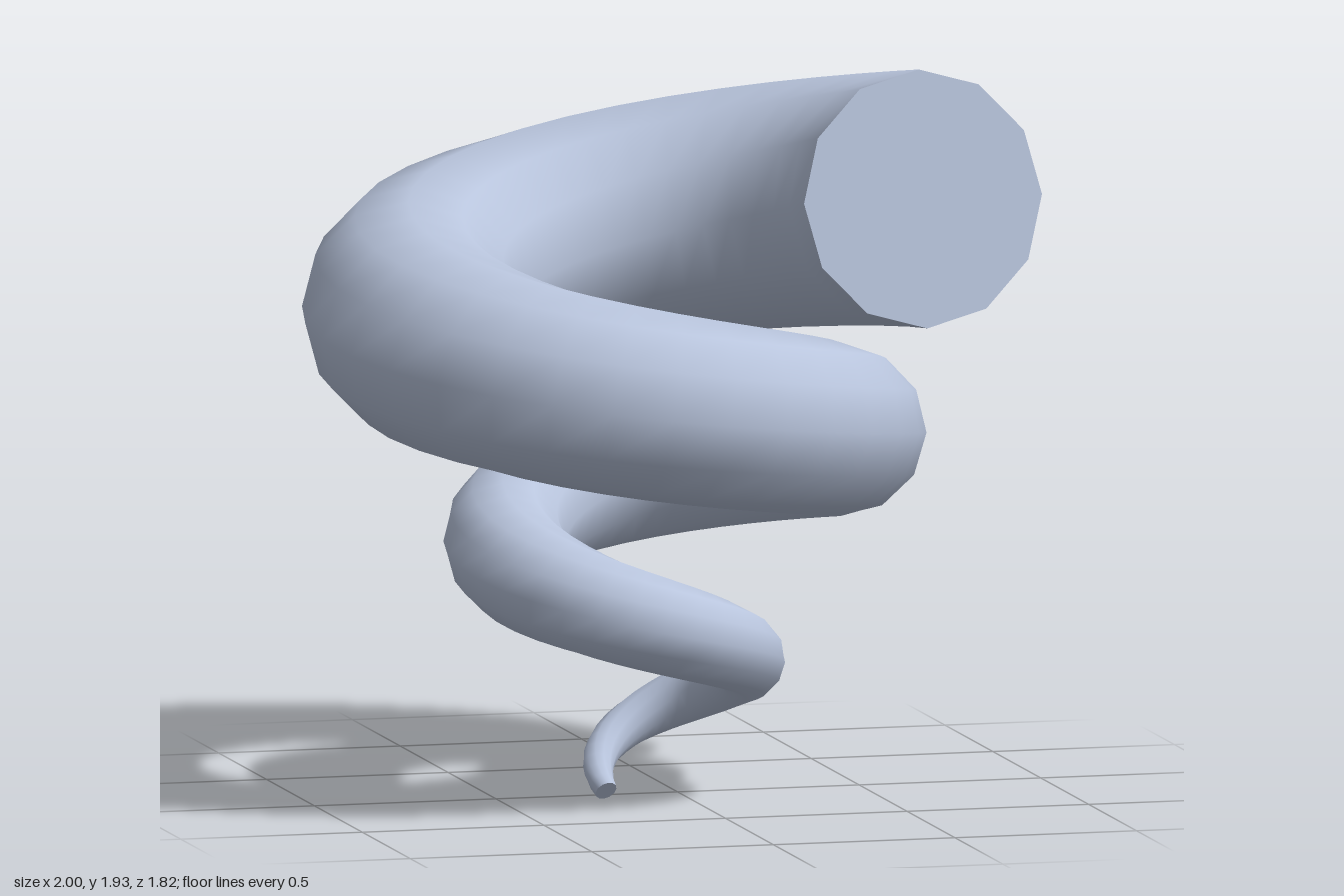
import * as THREE from 'three';

const TURNS = 2.5, STEPS = 80, SIDES = 12;

// Centre line: a conical helix that widens as it climbs
function centre(t) {
  const a = t * TURNS * Math.PI * 2;
  const r = 0.12 + 0.633 * t;
  return new THREE.Vector3(-0.1 - r * Math.cos(a), 0.025 + 1.56 * t, 0.087 - r * Math.sin(a));
}

// Ring of points square to the centre line, one vertex pointing outward
function ring(i) {
  const t = i / STEPS, c = centre(t), radius = 0.03 + 0.315 * t;
  const tangent = centre(Math.min(i + 1, STEPS) / STEPS)
    .sub(centre(Math.max(i - 1, 0) / STEPS)).normalize();
  const out = new THREE.Vector3(c.x + 0.1, 0, c.z - 0.087);
  out.addScaledVector(tangent, -out.dot(tangent)).normalize();
  const up = new THREE.Vector3().crossVectors(tangent, out);
  const points = [];
  for (let j = 0; j < SIDES; j++) {
    const a = (j / SIDES) * Math.PI * 2;
    points.push(c.clone()
      .addScaledVector(out, radius * Math.cos(a))
      .addScaledVector(up, radius * Math.sin(a)));
  }
  return points;
}

function build(points, index) {
  const g = new THREE.BufferGeometry().setFromPoints(points);
  g.setIndex(index);
  g.computeVertexNormals();
  return g;
}

// Smooth tapering tube
function tubeGeometry() {
  const points = [], index = [];
  for (let i = 0; i <= STEPS; i++) points.push(...ring(i));
  for (let i = 0; i < STEPS; i++) {
    for (let j = 0; j < SIDES; j++) {
      const k = (j + 1) % SIDES;
      const a = i * SIDES + j, b = i * SIDES + k;
      index.push(a, b, a + SIDES, b, b + SIDES, a + SIDES);
    }
  }
  return build(points, index);
}

// Flat polygon closing one end
function capGeometry(i, flip) {
  const points = ring(i), index = [];
  if (flip) points.reverse();
  for (let j = 1; j < SIDES - 1; j++) index.push(0, j, j + 1);
  return build(points, index);
}

export function createModel() {
  const group = new THREE.Group();
  group.name = 'spiralHorn';
  const shell = new THREE.MeshStandardMaterial({ color: 0xb8c4dc });
  shell.name = 'paleBlueGrey';

  const add = (name, geometry) => {
    const mesh = new THREE.Mesh(geometry, shell);
    mesh.name = name;
    group.add(mesh);
  };
  add('coil', tubeGeometry());
  add('tipCap', capGeometry(0, true));
  add('mouthCap', capGeometry(STEPS, false));
  return group;
}
